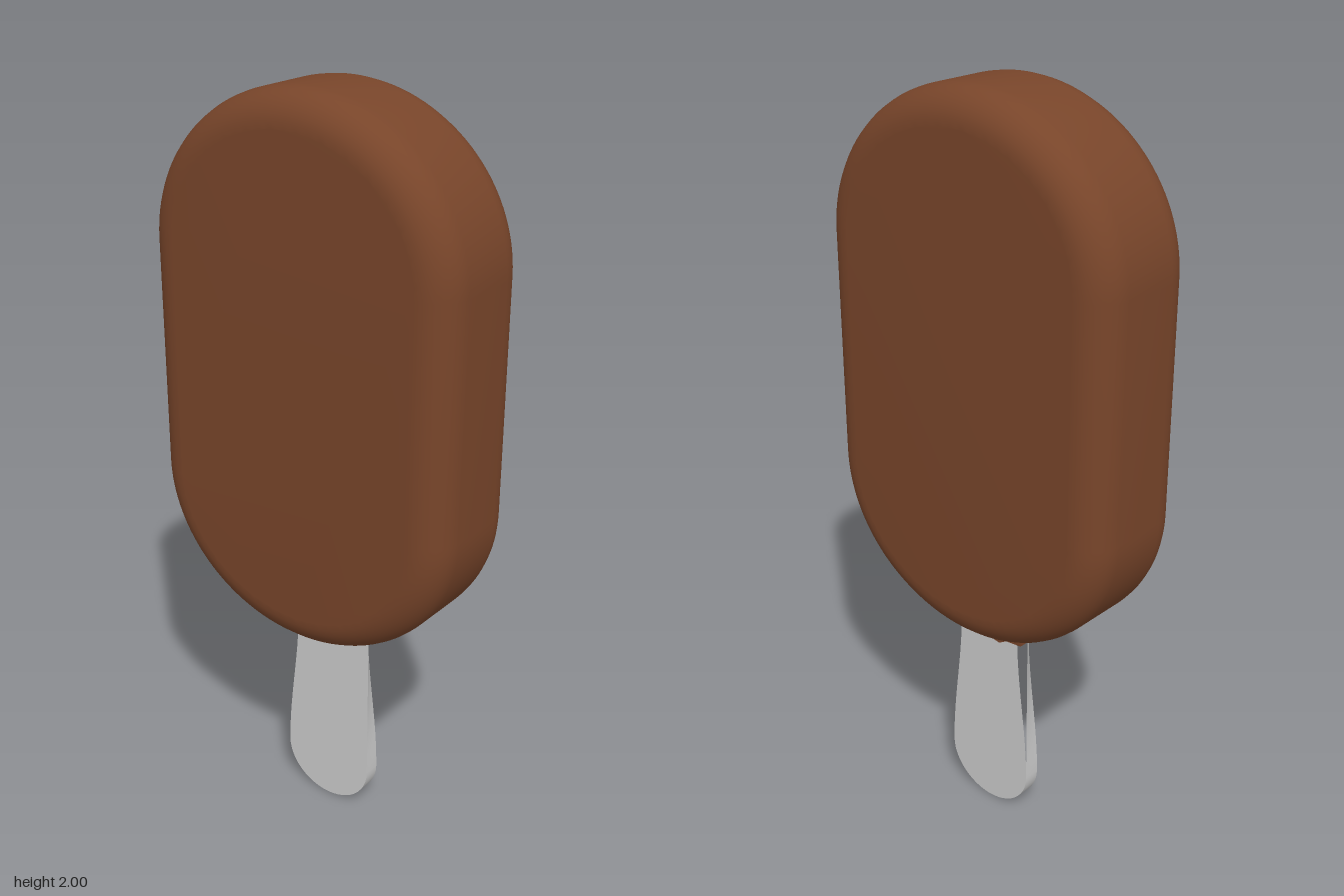
import * as THREE from 'three';
import { toCreasedNormals } from 'three/addons/utils/BufferGeometryUtils.js';

const chocolate = new THREE.MeshStandardMaterial({ color: 0x78452a });
const wood = new THREE.MeshStandardMaterial({ color: 0xcccccc });

function part(name, geometry, material) {
  const mesh = new THREE.Mesh(geometry, material);
  mesh.name = name;
  return mesh;
}

// Rounded chocolate bar: two half ellipses joined by straight sides, with soft rims
function coatingGeometry() {
  const shape = new THREE.Shape();
  shape.absellipse(0, 1.59, 0.447, 0.41, 0, Math.PI, false);
  shape.absellipse(0, 0.985, 0.447, 0.41, Math.PI, Math.PI * 2, false);
  shape.closePath();
  const rim = 0.087;
  const geo = new THREE.ExtrudeGeometry(shape, {
    depth: 0.33 - 2 * rim, bevelThickness: rim, bevelSize: rim, bevelOffset: -rim,
    bevelSegments: 8, curveSegments: 32,
  });
  geo.translate(0, 0, -0.165 + rim);
  return toCreasedNormals(geo, 0.6);
}

// Small collar of coating with a wavy lower edge where the stick enters
function collarGeometry() {
  const edge = [[-0.12, 0.55], [-0.07, 0.545], [-0.045, 0.53], [0, 0.536],
    [0.045, 0.526], [0.085, 0.545], [0.112, 0.55], [0.112, 0.64], [-0.12, 0.64]];
  const shape = new THREE.Shape(edge.map(([x, y]) => new THREE.Vector2(x, y)));
  const geo = new THREE.ExtrudeGeometry(shape, { depth: 0.062, bevelEnabled: false });
  geo.translate(0, 0, -0.052);
  return geo;
}

// Flat stick lofted upward: round foot, narrowing waist and slanted side walls
function stickGeometry() {
  const front = 0, back = -0.046, half = 0.136, rows = [];
  for (let i = 0; i <= 12; i++) {
    const a = (i / 12) * Math.PI / 2;
    rows.push({ y: 0.125 * (1 - Math.cos(a)), outer: half * Math.sin(a), inner: half * Math.sin(a) });
  }
  for (let i = 1; i <= 10; i++) {
    const t = i / 10;
    rows.push({ y: 0.125 + 0.525 * t, outer: half, inner: half - 0.036 * THREE.MathUtils.smoothstep(t, 0, 0.85) });
  }
  const points = [];
  const edges = ({ y, outer, inner }) => {
    const fl = [-inner, y, front], fr = [outer, y, front];
    const br = [inner, y, back], bl = [-inner, y, back], wing = [-outer, y, back];
    return [[fl, fr], [fr, br], [br, bl], [wing, fl]];
  };
  for (let i = 0; i < rows.length - 1; i++) {
    const low = edges(rows[i]), high = edges(rows[i + 1]);
    low.forEach(([p, q], k) => {
      const [s, r] = high[k];
      points.push(...p, ...q, ...r, ...p, ...r, ...s);
    });
  }
  const geo = new THREE.BufferGeometry();
  geo.setAttribute('position', new THREE.Float32BufferAttribute(points, 3));
  geo.translate(-0.003, 0, 0);
  return toCreasedNormals(geo, 0.5);
}

export function createModel() {
  const model = new THREE.Group();
  model.name = 'icePop';
  model.add(
    part('chocolateCoating', coatingGeometry(), chocolate),
    part('coatingCollar', collarGeometry(), chocolate),
    part('stick', stickGeometry(), wood),
  );
  return model;
}
